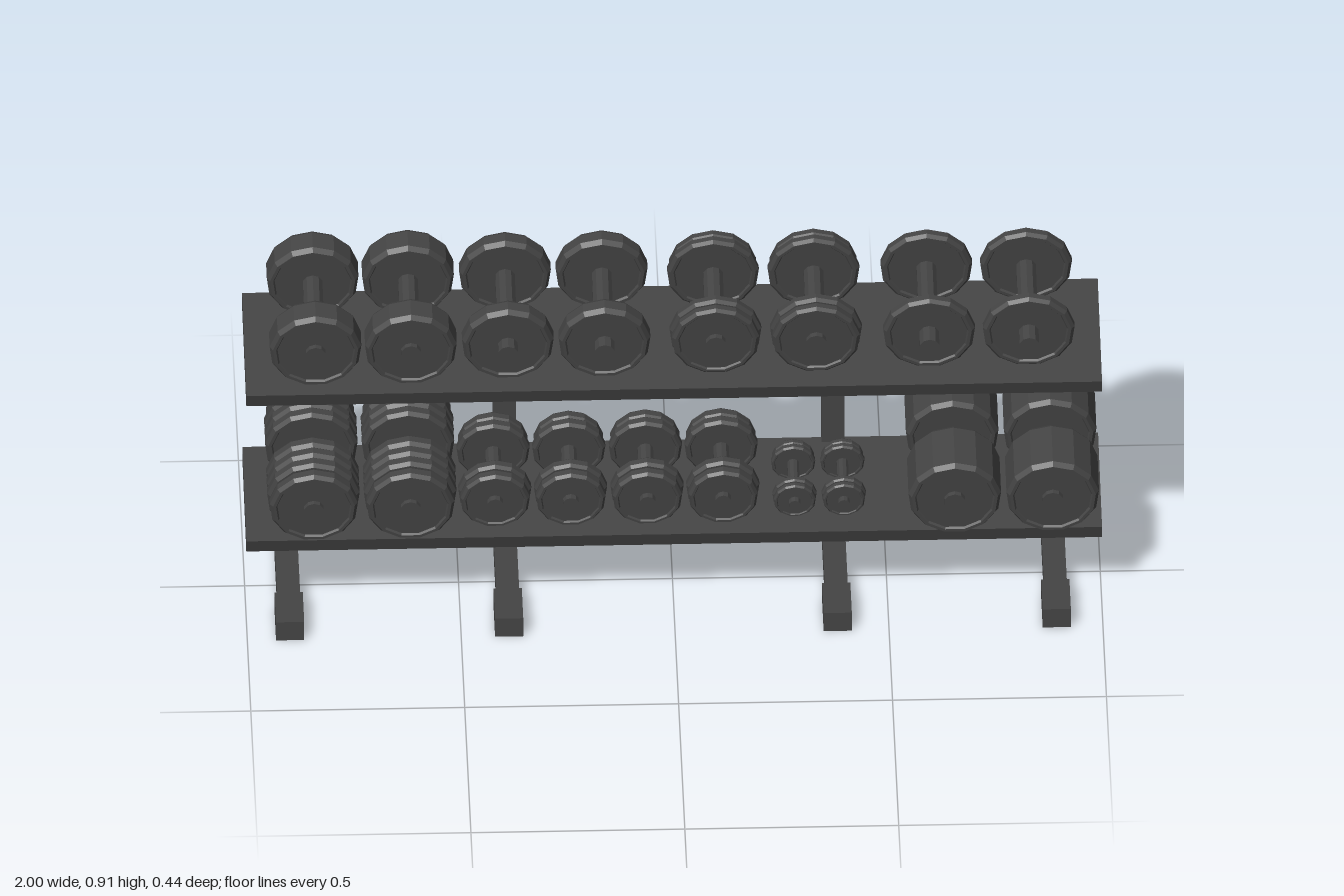
import * as THREE from 'three';

const TILT = 0.121;
const darkMetal = new THREE.MeshStandardMaterial({ color: 0x444444 });

function add(parent, name, geometry, x = 0, y = 0, z = 0) {
  const mesh = new THREE.Mesh(geometry, darkMetal);
  mesh.name = name;
  mesh.position.set(x, y, z);
  parent.add(mesh);
  return mesh;
}

// faceted surface: one normal per face
function faceted(geometry) {
  const g = geometry.toNonIndexed();
  g.computeVertexNormals();
  return g;
}

// weight plate along z, bevelled rim and slightly sunken faces
function plateGeometry(r, t) {
  const h = t / 2, b = Math.min(t * 0.25, 0.012), d = Math.min(t * 0.15, 0.005);
  const half = [[0, h - d], [r * 0.83, h - d], [r * 0.86, h], [r * 0.93, h], [r, h - b]];
  const profile = [
    ...half.map(([x, y]) => new THREE.Vector2(x, -y)),
    ...half.slice().reverse().map(([x, y]) => new THREE.Vector2(x, y)),
  ];
  return faceted(new THREE.LatheGeometry(profile, 13, Math.PI / 13).rotateX(Math.PI / 2));
}

// dumbbell kinds: plate radius, head thickness, head offset, plates per head, handle radius and length
const KINDS = {
  wide:   { r: 0.108, t: 0.074, off: 0.119, n: 1, hr: 0.024, len: 0.325 },
  medium: { r: 0.108, t: 0.05,  off: 0.118, n: 1, hr: 0.024, len: 0.34 },
  twin:   { r: 0.108, t: 0.052, off: 0.115, n: 2, hr: 0.024, len: 0.30 },
  thin:   { r: 0.108, t: 0.03,  off: 0.112, n: 1, hr: 0.024, len: 0.34 },
  stack:  { r: 0.109, t: 0.14,  off: 0.104, n: 4, hr: 0.024, len: 0.36 },
  heavy:  { r: 0.109, t: 0.145, off: 0.107, n: 1, hr: 0.025, len: 0.372 },
  light:  { r: 0.086, t: 0.06,  off: 0.085, n: 2, hr: 0.019, len: 0.25 },
  tiny:   { r: 0.052, t: 0.036, off: 0.065, n: 2, hr: 0.014, len: 0.19 },
};

function dumbbell(kind) {
  const { r, t, off, n, hr, len } = KINDS[kind];
  const group = new THREE.Group();
  group.name = kind + 'Dumbbell';
  add(group, 'handle', faceted(new THREE.CylinderGeometry(hr, hr, len, 10).rotateX(Math.PI / 2)));
  const step = t / n;
  for (const side of [-1, 1]) {
    for (let i = 0; i < n; i++) {
      // the outermost plate of a stack is a little smaller
      const radius = n > 1 && i === n - 1 ? r * 0.95 : r;
      add(group, 'plate', plateGeometry(radius, step), 0, 0, side * (off - t / 2 + step * (i + 0.5)));
    }
  }
  return group;
}

// sloping shelf from its side profile, given as [z, y]
function shelf(name, profile) {
  const shape = new THREE.Shape(profile.map(([z, y]) => new THREE.Vector2(z, y)));
  const g = new THREE.ExtrudeGeometry(shape, { depth: 2, bevelEnabled: false });
  g.rotateY(-Math.PI / 2).translate(1, 0, 0);
  const mesh = new THREE.Mesh(g, darkMetal);
  mesh.name = name;
  return mesh;
}

export function createModel() {
  const model = new THREE.Group();
  model.name = 'dumbbellRack';

  // four L-shaped stands with capped feet
  for (const x of [-0.9, -0.388, 0.38, 0.892]) {
    const stand = new THREE.Group();
    stand.name = 'stand';
    stand.position.x = x;
    add(stand, 'post', new THREE.BoxGeometry(0.054, 0.67, 0.052), 0, 0.34, -0.184);
    add(stand, 'foot', new THREE.BoxGeometry(0.054, 0.044, 0.27), 0, 0.027, -0.023);
    add(stand, 'footCap', new THREE.BoxGeometry(0.066, 0.052, 0.12), 0, 0.026, 0.16);
    model.add(stand);
  }

  // shelves
  model.add(shelf('upperShelf', [[0.133, 0.614], [0.147, 0.653], [-0.205, 0.696], [-0.218, 0.657]]));
  model.add(shelf('lowerShelf', [[0.133, 0.195], [0.147, 0.234], [-0.175, 0.274], [-0.187, 0.236]]));

  // dumbbells resting on the slope: shelf height at z = 0, row centre z, [kind, x]
  const rows = [
    { name: 'upperRow', y: 0.671, z: -0.02, items: [
      ['wide', -0.838], ['wide', -0.615], ['medium', -0.388], ['medium', -0.162],
      ['twin', 0.098], ['twin', 0.333], ['thin', 0.597], ['thin', 0.83]] },
    { name: 'lowerRow', y: 0.252, z: 0, items: [
      ['stack', -0.843], ['stack', -0.617], ['light', -0.418], ['light', -0.241],
      ['light', -0.062], ['light', 0.115], ['tiny', 0.283], ['tiny', 0.398],
      ['heavy', 0.655], ['heavy', 0.884]] },
  ];
  for (const row of rows) {
    const group = new THREE.Group();
    group.name = row.name;
    group.position.set(0, row.y, 0);
    group.rotation.x = TILT;
    for (const [kind, x] of row.items) {
      const bell = dumbbell(kind);
      const shift = kind === 'light' ? 0.02 : kind === 'tiny' ? 0.03 : 0;
      bell.position.set(x, KINDS[kind].r, row.z + shift - 0.013);
      group.add(bell);
    }
    model.add(group);
  }
  return model;
}
